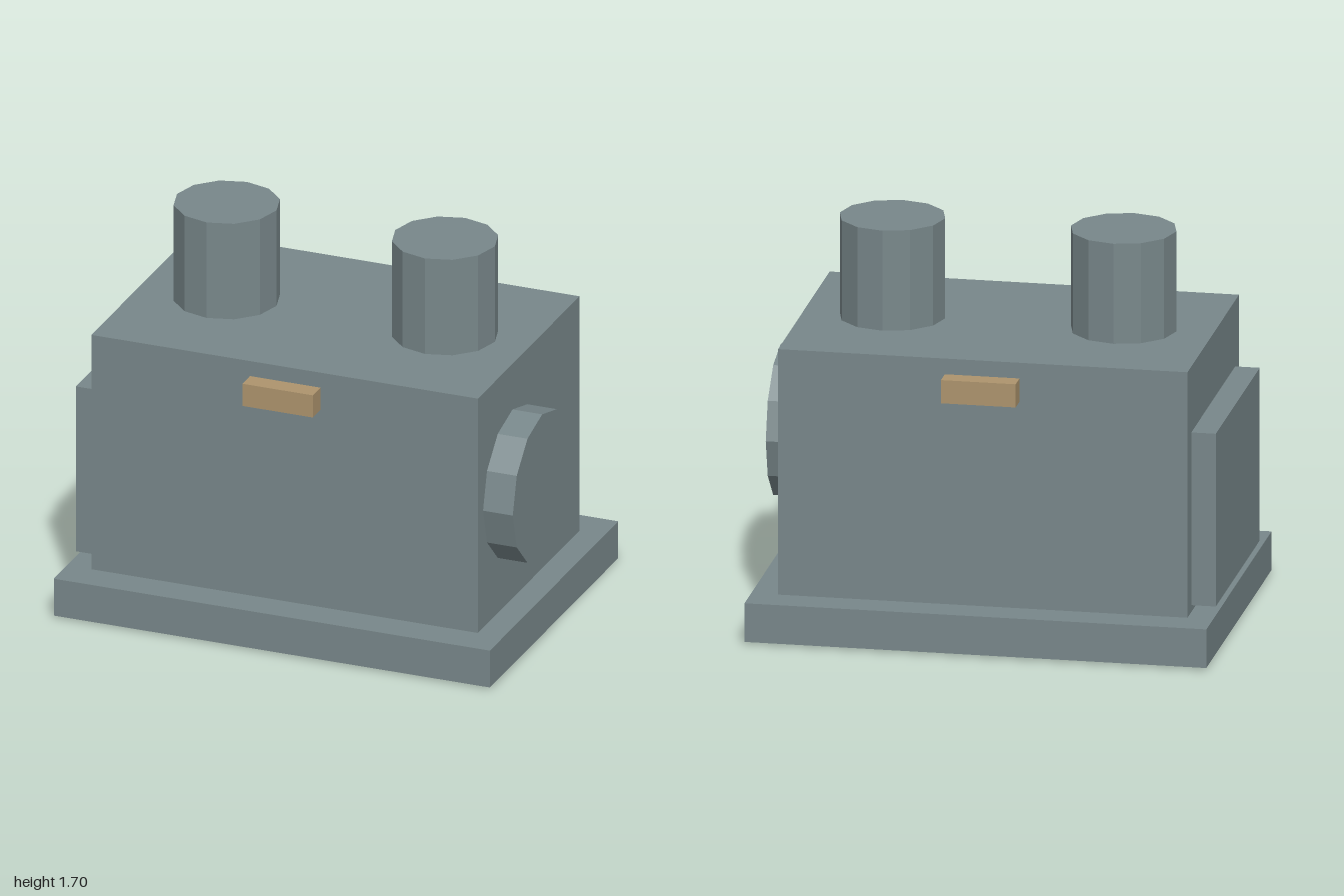
import * as THREE from 'three';

export function createModel() {
  const model = new THREE.Group();
  const steel = new THREE.MeshStandardMaterial({ color: 0x78878a });
  steel.name = 'greySteel';
  steel.flatShading = true;
  const brass = new THREE.MeshStandardMaterial({ color: 0xad946d });
  brass.name = 'tanBrass';

  const add = (name, geometry, material, x, y, z) => {
    const mesh = new THREE.Mesh(geometry, material);
    mesh.name = name;
    mesh.position.set(x, y, z);
    model.add(mesh);
    return mesh;
  };
  // box given by its minimum and maximum corners
  const box = (name, material, [x0, y0, z0], [x1, y1, z1]) =>
    add(name, new THREE.BoxGeometry(x1 - x0, y1 - y0, z1 - z0), material,
      (x0 + x1) / 2, (y0 + y1) / 2, (z0 + z1) / 2);

  // main casing on its plinth
  box('body', steel, [-0.89, 0, -0.57], [0.865, 1.26, 0.57]);
  box('basePlate', steel, [-1, 0.01, -0.72], [0.98, 0.18, 0.72]);

  // raised panel on one end
  box('sidePanel', steel, [-0.995, 0.21, -0.485], [-0.885, 0.97, 0.485]);

  // round cover on the other end
  const cover = add('roundCover', new THREE.CylinderGeometry(0.33, 0.33, 0.14, 12), steel, 0.93, 0.72, 0.183);
  cover.rotation.z = -Math.PI / 2;

  // twelve-sided stacks
  for (const x of [-0.506, 0.485]) {
    add('stack', new THREE.CylinderGeometry(0.226, 0.226, 0.45, 12), steel, x, 1.475, 0);
  }

  // small tabs, front and back
  for (const side of [-1, 1]) {
    add('tab', new THREE.BoxGeometry(0.32, 0.102, 0.1), brass, -0.01, 1.14, side * 0.606);
  }
  return model;
}
